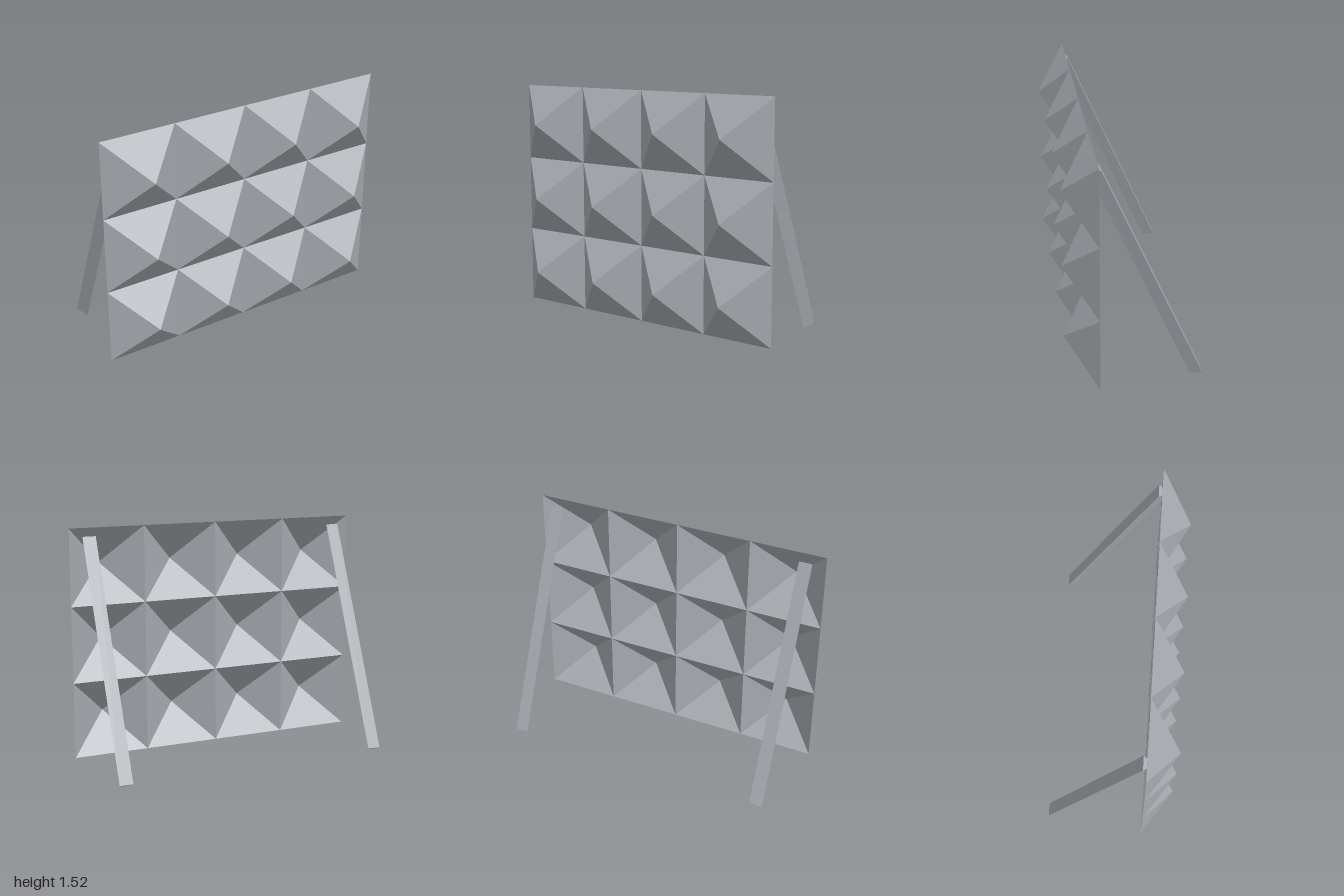
import * as THREE from 'three';

const BASE_Z = 0.225; // plane of the panel's pyramid bases

// Triangular-section prop, ridge forward, its top trimmed flush with the panel
function legGeometry() {
  const w = 0.0435, c = 0.029;
  const p = {
    BL: [w, 0.03, -0.42], BR: [-w, 0.03, -0.42], BK: [0, 0, -0.353],
    TL: [w, 1.47, 0.203], TR: [-w, 1.47, 0.203],
    CL: [c, 1.46, BASE_Z], CR: [-c, 1.46, BASE_Z], RK: [0, 1.338, BASE_Z],
  };
  const faces = [
    ['BL', 'BR', 'TR', 'TL'],        // back
    ['BK', 'BL', 'TL', 'CL', 'RK'],  // left side
    ['BR', 'BK', 'RK', 'CR', 'TR'],  // right side
    ['TR', 'CR', 'CL', 'TL'],        // top end
    ['CR', 'RK', 'CL'],              // trimmed face
    ['BL', 'BK', 'BR'],              // foot
  ];
  const pos = [];
  for (const f of faces)
    for (let i = 1; i < f.length - 1; i++) pos.push(...p[f[0]], ...p[f[i]], ...p[f[i + 1]]);
  const geo = new THREE.BufferGeometry();
  geo.setAttribute('position', new THREE.Float32BufferAttribute(pos, 3));
  geo.computeVertexNormals();
  return geo;
}

export function createModel() {
  const model = new THREE.Group();
  model.name = 'pyramidPanel';
  const grey = new THREE.MeshStandardMaterial({
    name: 'panelGrey', color: 0xa8abb2, flatShading: true, side: THREE.DoubleSide,
  });

  // Panel: 4 x 3 hollow pyramids, open at the back
  const panel = new THREE.Group();
  panel.name = 'panel';
  const size = 0.5, depth = 0.197;
  const pyramid = new THREE.ConeGeometry(size / Math.SQRT2, depth, 4, 1, true)
    .rotateY(Math.PI / 4).rotateX(Math.PI / 2);
  for (let row = 0; row < 3; row++) {
    for (let col = 0; col < 4; col++) {
      const tile = new THREE.Mesh(pyramid, grey);
      tile.name = 'pyramidTile';
      tile.position.set((col - 1.5) * size, 0.023 + (row + 0.5) * size, BASE_Z + depth / 2);
      panel.add(tile);
    }
  }
  model.add(panel);

  // Two sloping props behind the panel
  const legGeo = legGeometry();
  for (const side of [1, -1]) {
    const leg = new THREE.Mesh(legGeo, grey);
    leg.name = side > 0 ? 'leftLeg' : 'rightLeg';
    leg.position.x = side * 0.875;
    model.add(leg);
  }
  return model;
}
